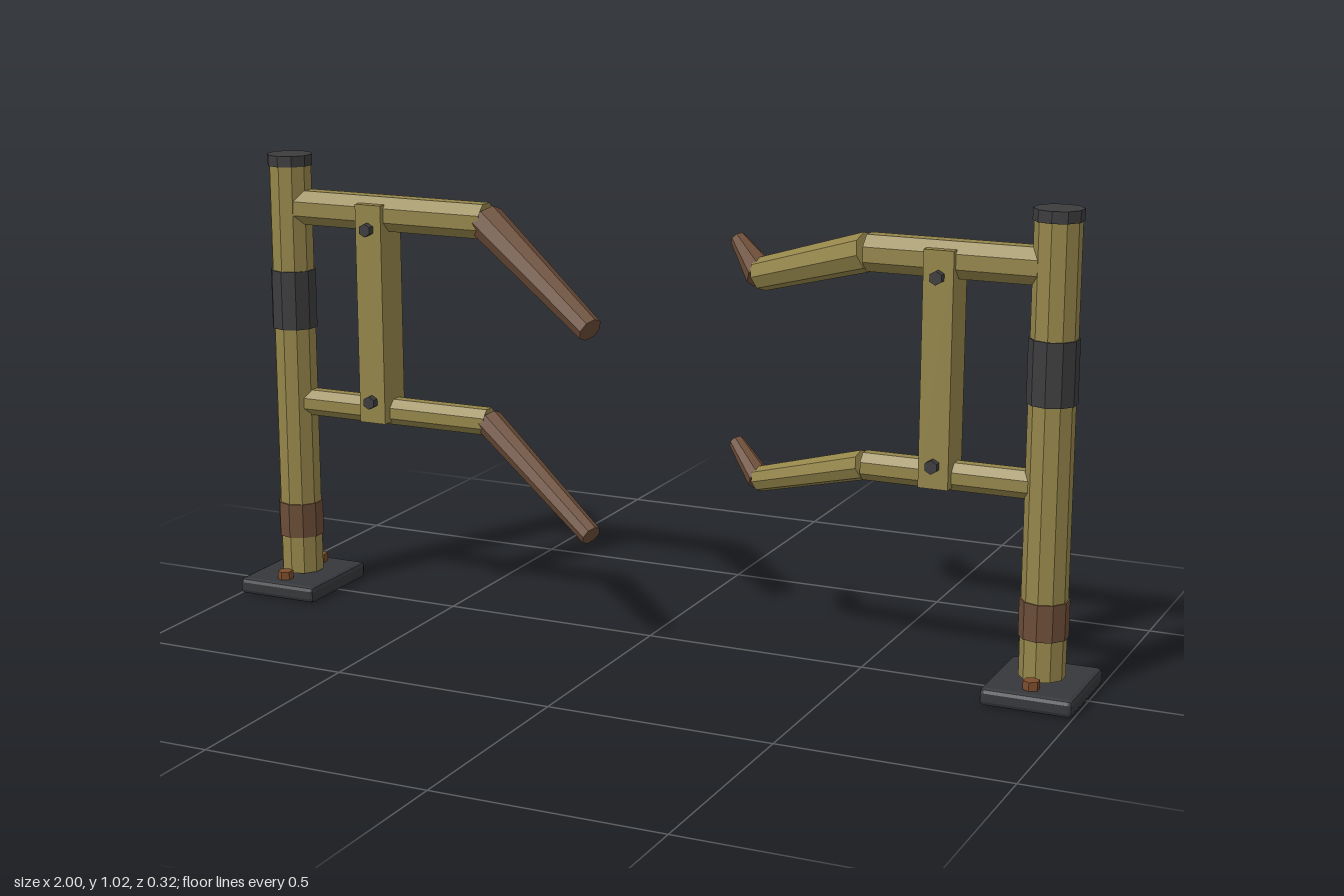
import * as THREE from 'three';
import { RoundedBoxGeometry } from 'three/addons/geometries/RoundedBoxGeometry.js';

const paint = (name, color) => {
  const m = new THREE.MeshStandardMaterial({ color });
  m.name = name;
  return m;
};

// faceted normals for the low-poly look
function flat(geometry) {
  const g = geometry.index ? geometry.toNonIndexed() : geometry;
  g.computeVertexNormals();
  return g;
}

export function createModel() {
  const olive = paint('olive wood', 0x94854a);
  const brown = paint('brown grip', 0x6b4c37);
  const dark = paint('dark metal', 0x3c3c3e);
  const base = paint('base metal', 0x35373a);
  const rust = paint('rusty bolt', 0x7a4c2c);

  const Z = 0.005; // centre plane of the posts
  const model = new THREE.Group();
  model.name = 'twinPostRack';

  function add(parent, name, geometry, material, x = 0, y = 0, z = 0) {
    const mesh = new THREE.Mesh(flat(geometry), material);
    mesh.name = name;
    mesh.position.set(x, y, z);
    parent.add(mesh);
    return mesh;
  }

  // tapered rod between two points
  function rod(parent, name, material, from, to, r0, r1, sides = 8) {
    const a = new THREE.Vector3(...from);
    const b = new THREE.Vector3(...to);
    const dir = b.clone().sub(a);
    const g = new THREE.CylinderGeometry(r1, r0, dir.length(), sides);
    g.rotateY(Math.PI / sides);
    const mesh = add(parent, name, g, material);
    mesh.position.copy(a).add(b).multiplyScalar(0.5);
    mesh.quaternion.setFromUnitVectors(new THREE.Vector3(0, 1, 0), dir.normalize());
  }

  // upright ring or shaft spanning two heights
  function upright(parent, name, material, x, y0, y1, r) {
    add(parent, name, new THREE.CylinderGeometry(r, r, y1 - y0, 10), material, x, (y0 + y1) / 2, Z);
  }

  for (const s of [-1, 1]) {
    const stand = new THREE.Group();
    stand.name = s < 0 ? 'rightStand' : 'leftStand';
    model.add(stand);
    const x = s * 0.9;

    // foot plate and its bolts
    add(stand, 'basePlate', new RoundedBoxGeometry(0.198, 0.038, 0.236, 1, 0.01), base, x, 0.019, Z);
    for (const dz of [-0.076, 0.076])
      add(stand, 'baseBolt', new THREE.CylinderGeometry(0.018, 0.018, 0.021, 6), rust, x, 0.0465, Z + dz);

    // post with cap and painted bands
    upright(stand, 'post', olive, x, 0.043, 1.0, 0.049);
    upright(stand, 'postCap', dark, x, 1.0, 1.025, 0.052);
    upright(stand, 'darkBand', dark, x, 0.625, 0.76, 0.0525);
    upright(stand, 'brownBand', brown, x, 0.13, 0.21, 0.0525);

    // strap joining the two rails, with bolt heads
    add(stand, 'strap', new THREE.BoxGeometry(0.065, 0.5, 0.088), olive, s * 0.668, 0.68, 0.012);
    for (const y of [0.875, 0.48]) {
      const g = new THREE.CylinderGeometry(0.015, 0.015, 0.02, 6);
      g.rotateX(Math.PI / 2);
      add(stand, 'strapBolt', g, dark, s * 0.668, y, 0.063);
    }

    // upper and lower arms
    for (const [level, y, r] of [['upper', 0.906, 0.042], ['lower', 0.451, 0.032]]) {
      if (s < 0) {
        const endY = level === 'upper' ? 0.712 : 0.256;
        rod(stand, level + 'Rail', olive, [-0.88, y, Z], [-0.395, y, Z], r, r);
        rod(stand, level + 'Grip', brown, [-0.395, y, Z], [-0.082, endY, 0.127],
          r, level === 'upper' ? 0.029 : 0.024);
      } else {
        const elbow = [0.222, y - 0.086, -0.09];
        const tip = [0.143, y - 0.024, -0.147];
        rod(stand, level + 'Rail', olive, [0.88, y, Z], [0.5, y, Z], r, r);
        rod(stand, level + 'Forearm', olive, [0.5, y, Z], elbow, r, r * 0.87);
        rod(stand, level + 'Hook', brown, elbow, tip, r * 0.85, 0.018);
      }
    }
  }
  return model;
}
